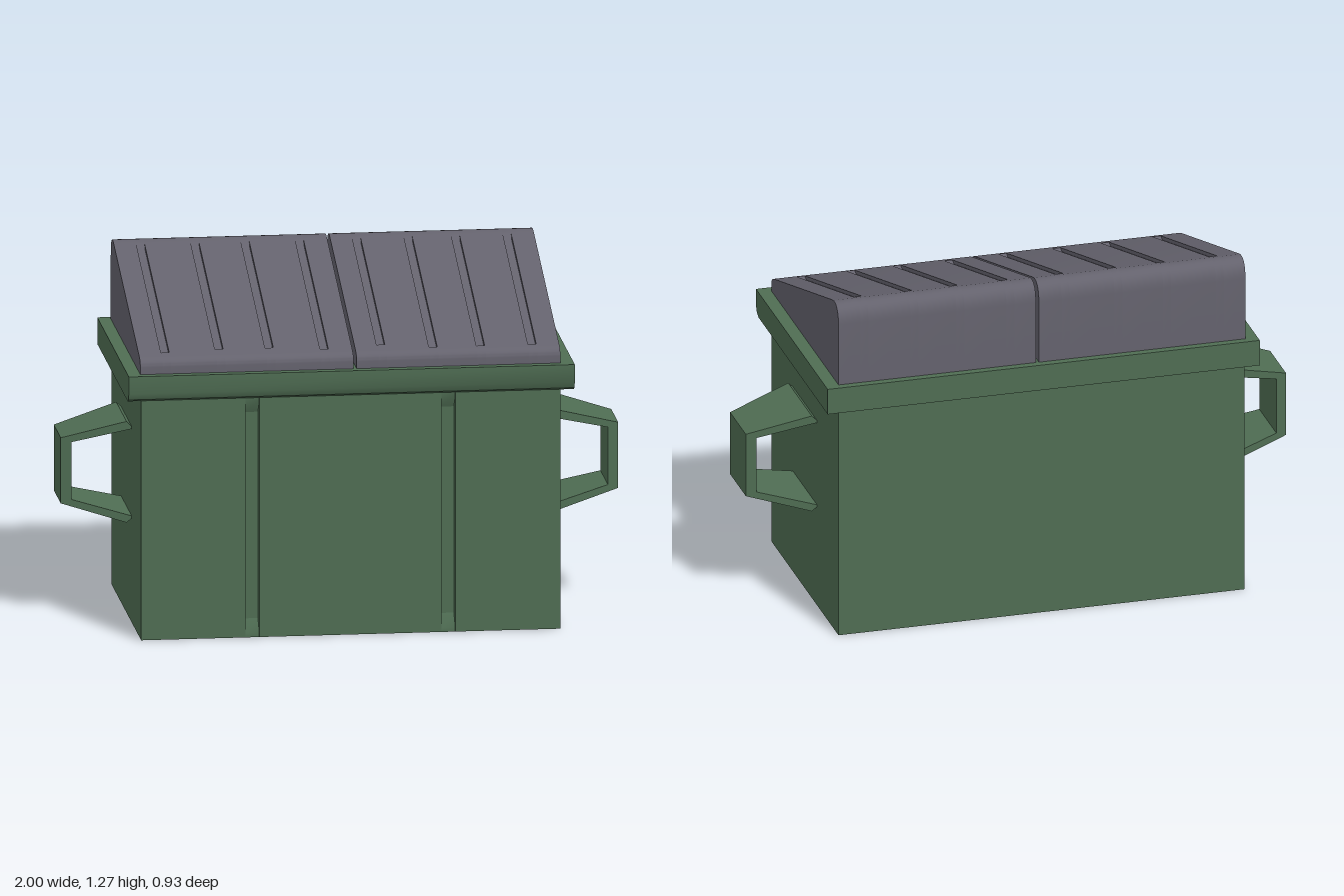
import * as THREE from 'three';
import { toCreasedNormals } from 'three/addons/utils/BufferGeometryUtils.js';

const green = new THREE.MeshStandardMaterial({ color: 0x4f6d53 });
green.name = 'green painted steel';
const grey = new THREE.MeshStandardMaterial({ color: 0x64626d });
grey.name = 'grey plastic';

function polygon(points) {
  return new THREE.Shape(points.map(([x, y]) => new THREE.Vector2(x, y)));
}

// Extrudes a side profile, given as (z, y), from x0 to x1
function sideExtrude(shape, x0, x1) {
  const g = new THREE.ExtrudeGeometry(shape, { depth: x1 - x0, bevelEnabled: false, curveSegments: 8 });
  g.rotateY(-Math.PI / 2);
  g.translate(x1, 0, 0);
  return toCreasedNormals(g, 0.5);
}

function add(parent, name, geometry, material) {
  const mesh = new THREE.Mesh(geometry, material);
  mesh.name = name;
  parent.add(mesh);
  return mesh;
}

// Lid side profile, optionally with a shallow groove in the slope ending at grooveFront
function lidProfile(grooveFront) {
  const slope = (z) => 1.033 + (0.4 - z) * 0.312;
  const s = new THREE.Shape();
  s.moveTo(-0.437, 0.97);
  s.lineTo(0.437, 0.97);
  s.lineTo(0.437, 0.998);
  s.quadraticCurveTo(0.437, 1.022, 0.4, slope(0.4));
  if (grooveFront !== undefined) {
    const depth = 0.014;
    const back = -0.345;
    s.lineTo(grooveFront, slope(grooveFront));
    s.lineTo(grooveFront - 0.02, slope(grooveFront - 0.02) - depth);
    s.lineTo(back + 0.02, slope(back + 0.02) - depth);
    s.lineTo(back, slope(back));
  }
  s.lineTo(-0.35, slope(-0.35));
  s.bezierCurveTo(-0.405, 1.287, -0.437, 1.26, -0.437, 1.205);
  s.lineTo(-0.437, 0.97);
  return s;
}

// One lid made of full strips alternating with grooved strips
function makeLid(name, x0, x1, grooves) {
  const lid = new THREE.Group();
  lid.name = name;
  let x = x0;
  for (const [centre, front] of grooves) {
    add(lid, 'lidPanel', sideExtrude(lidProfile(), x, centre - 0.015), grey);
    add(lid, 'lidGroove', sideExtrude(lidProfile(front), centre - 0.015, centre + 0.015), grey);
    x = centre + 0.015;
  }
  add(lid, 'lidPanel', sideExtrude(lidProfile(), x, x1), grey);
  return lid;
}

// Bent strap handle, narrowing away from the body
function makeHandle() {
  const strap = polygon([
    [0.745, 0.71], [0.77, 0.735], [1, 0.67], [1, 0.43], [0.77, 0.365],
    [0.745, 0.388], [0.962, 0.445], [0.962, 0.655],
  ]);
  const g = new THREE.ExtrudeGeometry(strap, { depth: 2, bevelEnabled: false });
  g.translate(0, 0, -1);
  const p = g.attributes.position;
  for (let i = 0; i < p.count; i++) {
    p.setZ(i, p.getZ(i) * (0.158 - (p.getX(i) - 0.75) * 0.22));
  }
  g.computeVertexNormals();
  return g;
}

export function createModel() {
  const model = new THREE.Group();
  model.name = 'dumpster';

  // Body: plan outline with two upright grooves in the front
  const front = -0.437, depth = 0.02;
  const outline = [[-0.752, front]];
  for (const c of [-0.353, 0.35]) {
    outline.push([c - 0.025, front], [c - 0.022, front + depth], [c + 0.022, front + depth], [c + 0.025, front]);
  }
  outline.push([0.752, front], [0.752, 0.437], [-0.752, 0.437]);
  const body = new THREE.ExtrudeGeometry(polygon(outline), { depth: 0.89, bevelEnabled: false });
  body.rotateX(-Math.PI / 2);
  add(model, 'body', body, green);

  // Sloped ends of the front grooves
  for (const c of [-0.353, 0.35]) {
    const low = polygon([[0.41, 0], [0.437, 0], [0.437, 0.015], [0.417, 0.065], [0.41, 0.065]]);
    const high = polygon([[0.41, 0.82], [0.417, 0.82], [0.437, 0.865], [0.437, 0.89], [0.41, 0.89]]);
    add(model, 'grooveFoot', sideExtrude(low, c - 0.024, c + 0.024), green);
    add(model, 'grooveHead', sideExtrude(high, c - 0.024, c + 0.024), green);
  }

  // Rim with a chamfered lower front edge
  const rim = polygon([
    [-0.465, 0.875], [0.435, 0.875], [0.456, 0.885], [0.468, 0.908], [0.468, 0.972], [-0.465, 0.972],
  ]);
  add(model, 'rim', sideExtrude(rim, -0.8, 0.8), green);

  // Pair of lids with a narrow gap
  model.add(makeLid('rightLid', -0.755, 0.01,
    [[-0.66, 0.385], [-0.465, 0.372], [-0.285, 0.372], [-0.09, 0.39]]));
  model.add(makeLid('leftLid', 0.021, 0.752,
    [[0.115, 0.372], [0.3, 0.397], [0.47, 0.397], [0.655, 0.397]]));

  // Side handles
  const handle = makeHandle();
  add(model, 'leftHandle', handle, green);
  add(model, 'rightHandle', handle, green).rotation.y = Math.PI;

  return model;
}
